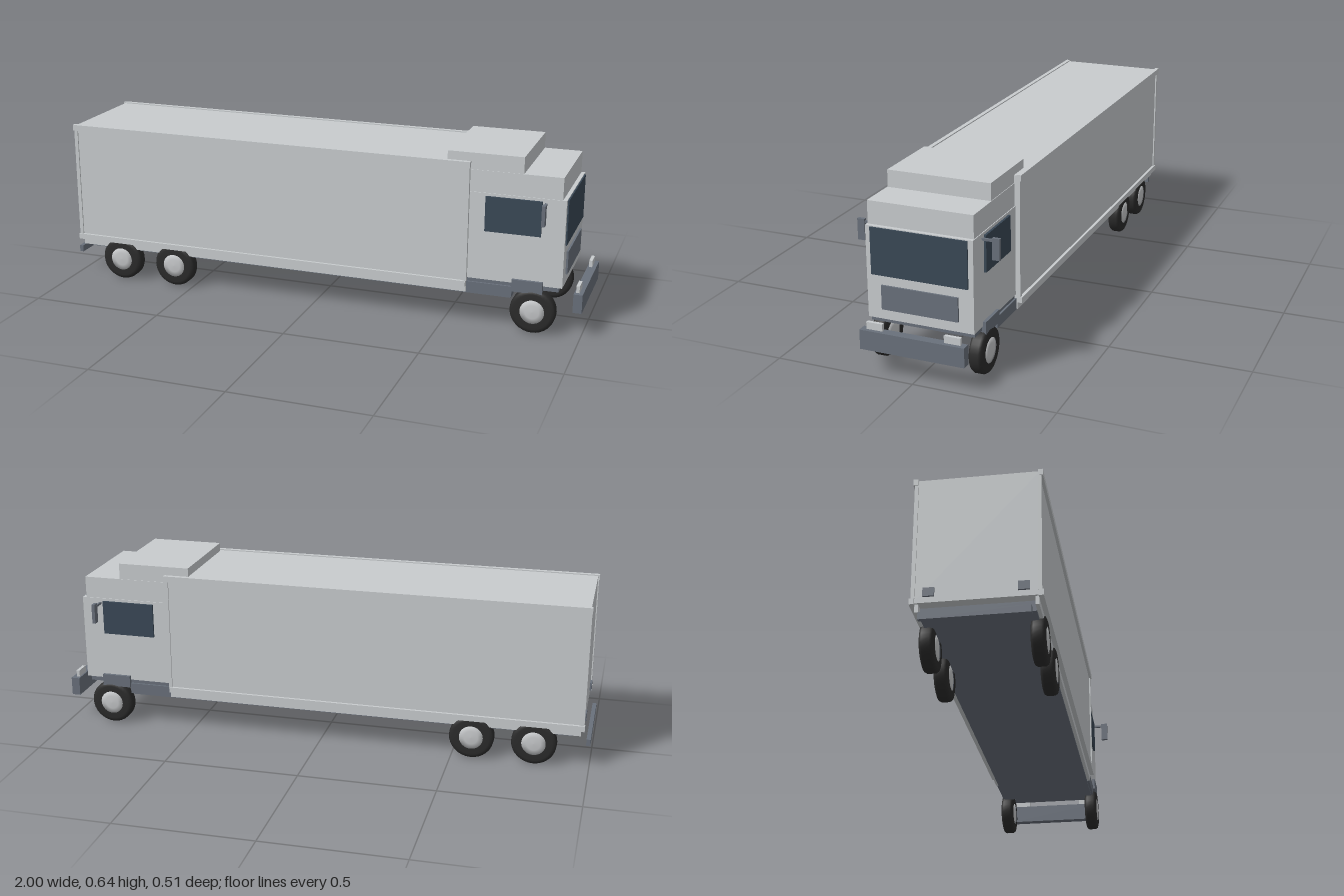
import * as THREE from 'three';

export function createModel() {
  const truck = new THREE.Group();
  truck.name = 'boxTruck';

  const mat = (name, color) => {
    const m = new THREE.MeshStandardMaterial({ color });
    m.name = name;
    return m;
  };
  const body = mat('bodyGrey', 0xc8ccce);
  const trim = mat('slateTrim', 0x69707b);
  const glass = mat('darkGlass', 0x3a4856);
  const rubber = mat('tyreRubber', 0x2b2b2b);
  const metal = mat('hubMetal', 0xc6c8ca);

  // Box given by its extents on each axis
  const box = (name, material, [x0, x1], [y0, y1], [z0, z1]) => {
    const m = new THREE.Mesh(new THREE.BoxGeometry(x1 - x0, y1 - y0, z1 - z0), material);
    m.position.set((x0 + x1) / 2, (y0 + y1) / 2, (z0 + z1) / 2);
    m.name = name;
    truck.add(m);
    return m;
  };
  // Mirrored pair, one on each side of the truck
  const pair = (name, material, x, y, [z0, z1]) => {
    box(name, material, x, y, [z0, z1]);
    box(name, material, x, y, [-z1, -z0]);
  };

  // Cargo body with its frame of rails and posts
  box('cargoBody', body, [-0.972, 0.585], [0.155, 0.608], [-0.203, 0.203]);
  pair('topRail', body, [-0.978, 0.59], [0.59, 0.612], [0.197, 0.213]);
  pair('bottomRail', body, [-0.978, 0.585], [0.15, 0.171], [0.197, 0.213]);
  pair('frontPost', body, [0.575, 0.588], [0.17, 0.59], [0.195, 0.208]);
  pair('rearPost', body, [-0.976, -0.962], [0.17, 0.59], [0.195, 0.208]);
  pair('sideSkirt', body, [-0.965, 0.585], [0.126, 0.156], [0.185, 0.197]);
  pair('rearLight', trim, [-0.979, -0.97], [0.175, 0.205], [0.133, 0.17]);

  // Chassis and bumpers
  box('chassis', trim, [-0.935, 0.745], [0.119, 0.157], [-0.185, 0.185]);
  box('cabFloor', trim, [0.58, 0.915], [0.162, 0.18], [-0.186, 0.186]);
  pair('sideStep', trim, [0.585, 0.75], [0.125, 0.165], [0.155, 0.193]);
  pair('wheelArch', trim, [0.75, 0.86], [0.15, 0.195], [0.155, 0.201]);
  box('rearBumper', trim, [-1, -0.985], [0.083, 0.108], [-0.178, 0.178]);
  box('frontBumper', trim, [0.968, 1], [0.093, 0.162], [-0.187, 0.187]);
  pair('headlight', body, [0.974, 0.986], [0.16, 0.187], [0.11, 0.168]);

  // Cab
  box('cabLower', body, [0.583, 0.928], [0.179, 0.5], [-0.19, 0.19]);
  box('cabUpper', body, [0.583, 0.914], [0.5, 0.58], [-0.187, 0.187]);
  box('roofFairing', body, [0.502, 0.775], [0.575, 0.64], [-0.185, 0.185]);
  box('windshield', glass, [0.927, 0.933], [0.333, 0.497], [-0.172, 0.172]);
  box('grille', trim, [0.927, 0.935], [0.215, 0.3], [-0.137, 0.137]);
  pair('sideWindow', glass, [0.645, 0.845], [0.362, 0.49], [0.189, 0.198]);
  pair('mirrorArm', trim, [0.853, 0.861], [0.477, 0.485], [0.188, 0.24]);
  pair('mirror', trim, [0.854, 0.866], [0.418, 0.492], [0.227, 0.253]);

  // Wheels: a lathed tyre with a slightly domed hub on both faces
  const v = (r, y) => new THREE.Vector2(r, y);
  const tyreGeo = new THREE.LatheGeometry([
    v(0.044, -0.024), v(0.066, -0.024), v(0.077, -0.021), v(0.082, -0.013),
    v(0.082, 0.013), v(0.077, 0.021), v(0.066, 0.024), v(0.044, 0.024),
  ], 32);
  const hubGeo = new THREE.LatheGeometry([
    v(0, -0.026), v(0.025, -0.025), v(0.045, -0.021),
    v(0.045, 0.021), v(0.025, 0.025), v(0, 0.026),
  ], 28);
  for (const x of [0.828, -0.573, -0.8]) {
    for (const side of [1, -1]) {
      const wheel = new THREE.Group();
      wheel.name = x > 0 ? 'frontWheel' : 'rearWheel';
      const tyre = new THREE.Mesh(tyreGeo, rubber);
      tyre.name = 'tyre';
      const hub = new THREE.Mesh(hubGeo, metal);
      hub.name = 'hub';
      wheel.add(tyre, hub);
      wheel.rotation.x = Math.PI / 2;
      wheel.position.set(x, 0.082, side * 0.179);
      truck.add(wheel);
    }
  }

  return truck;
}
